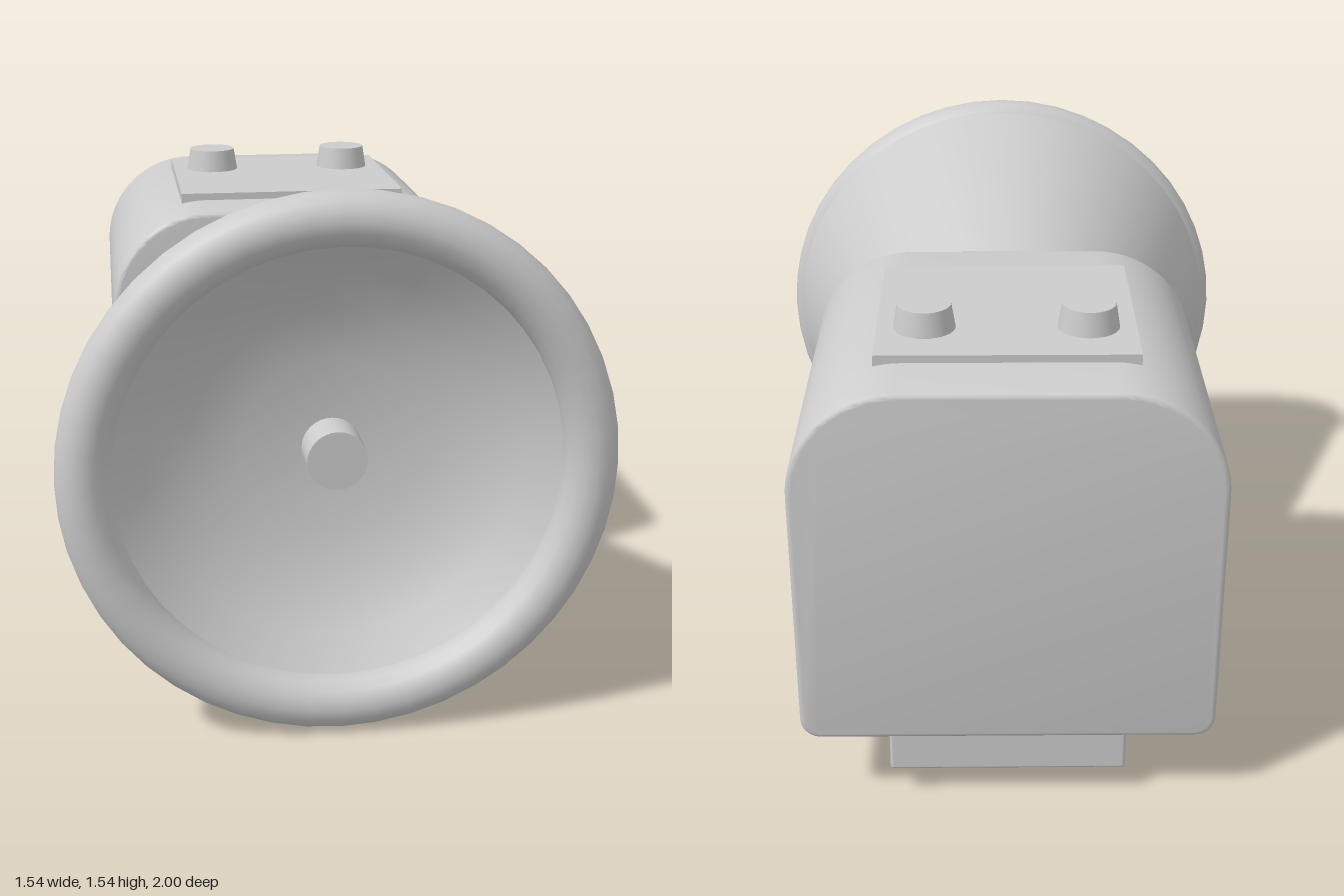
import * as THREE from 'three';
import { toCreasedNormals } from 'three/addons/utils/BufferGeometryUtils.js';
import { RoundedBoxGeometry } from 'three/addons/geometries/RoundedBoxGeometry.js';

const AXIS_Y = 0.775; // height of the horn axis

export function createModel() {
  const group = new THREE.Group();
  const grey = new THREE.MeshStandardMaterial({ color: 0xcccccc });
  grey.name = 'light grey';

  const add = (name, geometry, x, y, z) => {
    const mesh = new THREE.Mesh(geometry, grey);
    mesh.name = name;
    mesh.position.set(x, y, z);
    group.add(mesh);
    return mesh;
  };

  // Turns a [radius, z] profile around the horn axis
  const turned = (profile, crease = 0.6) => {
    const points = profile.map(([r, z]) => new THREE.Vector2(r, z));
    const geometry = new THREE.LatheGeometry(points, 48).rotateX(Math.PI / 2);
    return toCreasedNormals(geometry, crease);
  };

  // Housing: wide round shoulders, tight lower corners, softened ends
  const bevel = 0.015;
  const w = 0.59 - bevel, bottom = 0.225 + bevel, top = 1.31 - bevel;
  const R = 0.29, r = 0.045;
  const outline = new THREE.Shape();
  outline.moveTo(-w + r, bottom);
  outline.lineTo(w - r, bottom);
  outline.absarc(w - r, bottom + r, r, -Math.PI / 2, 0);
  outline.absarc(w - R, top - R, R, 0, Math.PI / 2);
  outline.absarc(-w + R, top - R, R, Math.PI / 2, Math.PI);
  outline.absarc(-w + r, bottom + r, r, Math.PI, Math.PI * 1.5);
  const housing = new THREE.ExtrudeGeometry(outline, {
    depth: 1.045 - 2 * bevel, bevelEnabled: true, bevelSize: bevel,
    bevelThickness: bevel, bevelSegments: 3, curveSegments: 12,
  });
  add('housing', toCreasedNormals(housing, 0.6), 0, 0, -1 + bevel);

  // Foot block under the housing, reaching slightly ahead of it
  add('foot', new RoundedBoxGeometry(0.68, 0.3, 1.07, 2, 0.01), 0, 0.24, -0.435);

  // Collar between housing and horn
  add('collar', turned([
    [0.5, 0.02], [0.5, 0.06], [0.49, 0.08], [0.47, 0.095], [0.44, 0.1], [0.38, 0.1],
  ]), 0, AXIS_Y, 0);

  // Flared horn, rolled rim and the dished inside
  add('horn', turned([[0.43, 0.08], [0.745, 0.87], [0.75, 0.91]]), 0, AXIS_Y, 0);
  add('rim', new THREE.TorusGeometry(0.696, 0.076, 16, 48), 0, AXIS_Y, 0.924);
  add('dish', turned([
    [0.65, 0.93], [0.62, 0.91], [0.53, 0.84], [0.41, 0.78], [0.26, 0.74], [0, 0.735],
  ], 0.3), 0, AXIS_Y, 0);
  const stud = new THREE.CylinderGeometry(0.085, 0.085, 0.14, 32).rotateX(Math.PI / 2);
  add('centreStud', stud, 0, AXIS_Y, 0.79);

  // Control plate with two tapered knobs
  add('controlPlate', new THREE.BoxGeometry(0.72, 0.04, 0.655), 0, 1.312, -0.4775);
  for (const side of [-1, 1]) {
    add(side > 0 ? 'leftKnob' : 'rightKnob',
      new THREE.CylinderGeometry(0.075, 0.088, 0.08, 32), side * 0.227, 1.362, -0.61);
  }

  return group;
}
